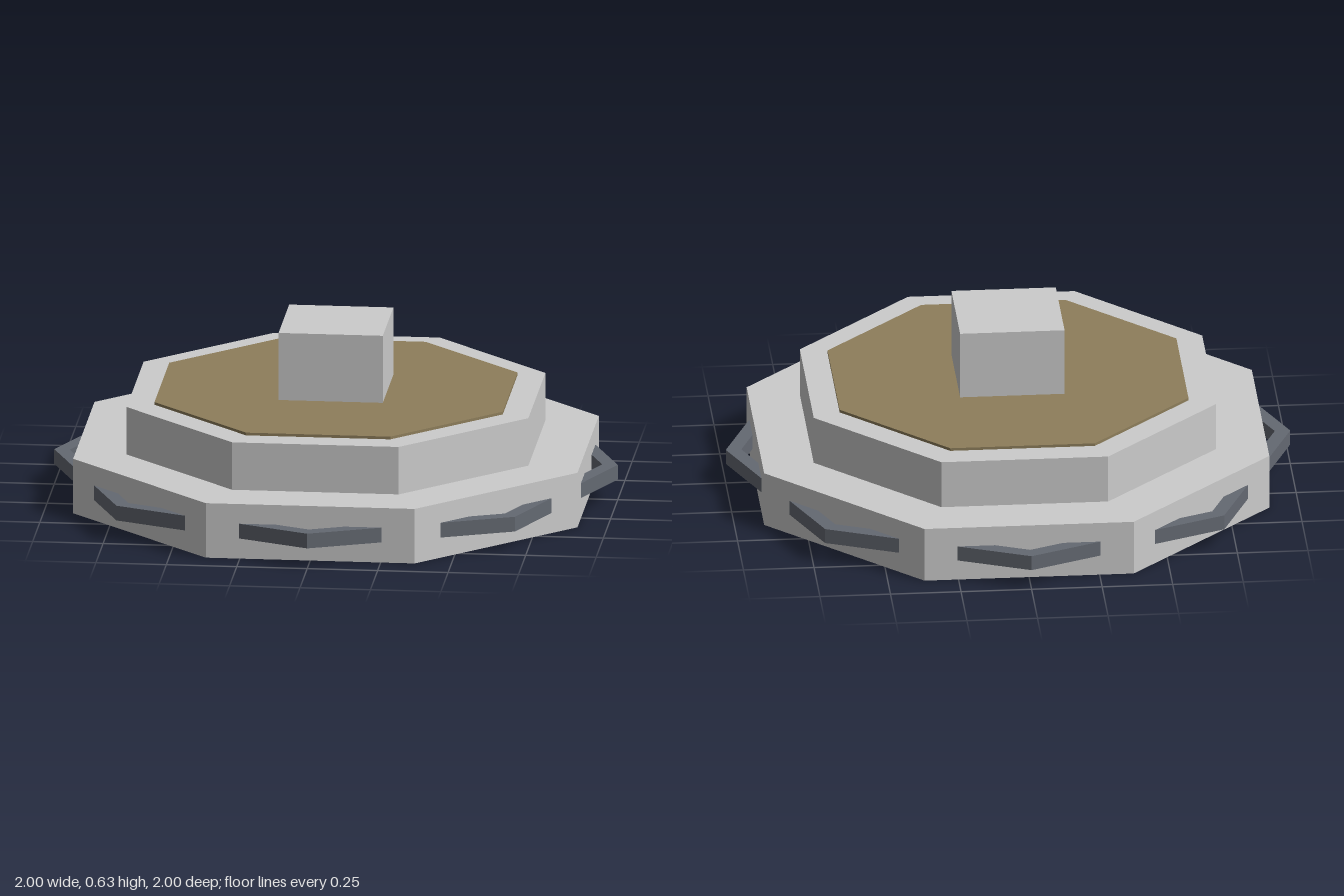
import * as THREE from 'three';

const material = (color) => new THREE.MeshStandardMaterial({ color, flatShading: true });

export function createModel() {
  const model = new THREE.Group();
  const grey = material(0xcccccc);
  const brown = material(0x8e7e5b);
  const slate = material(0x646972);

  const add = (name, geometry, mat, y) => {
    const mesh = new THREE.Mesh(geometry, mat);
    mesh.name = name;
    mesh.position.y = y;
    model.add(mesh);
  };

  // Octagonal slab with flat sides facing the axes, from its apothem
  const slab = (name, apothem, y0, y1, mat) => {
    const radius = apothem / Math.cos(Math.PI / 8);
    const geometry = new THREE.CylinderGeometry(radius, radius, y1 - y0, 8);
    geometry.rotateY(Math.PI / 8);
    add(name, geometry, mat, (y0 + y1) / 2);
  };

  // Stepped body
  slab('base', 0.895, 0, 0.2, grey);
  slab('upperTier', 0.713, 0.2, 0.374, grey);
  slab('topPlate', 0.618, 0.374, 0.384, brown);

  // Central block
  add('centreBlock', new THREE.BoxGeometry(0.37, 0.25, 0.37), grey, 0.505);

  // Octagonal band whose corners poke through the base's sides
  const octagon = (radius) => Array.from({ length: 8 }, (_, i) => {
    const a = (i * Math.PI) / 4;
    return new THREE.Vector2(radius * Math.cos(a), radius * Math.sin(a));
  });
  const ring = new THREE.Shape(octagon(1));
  ring.holes.push(new THREE.Path(octagon(0.945).reverse()));
  const band = new THREE.ExtrudeGeometry(ring, { depth: 0.054, bevelEnabled: false });
  band.rotateX(-Math.PI / 2);
  add('outerBand', band, slate, 0.074);

  return model;
}
